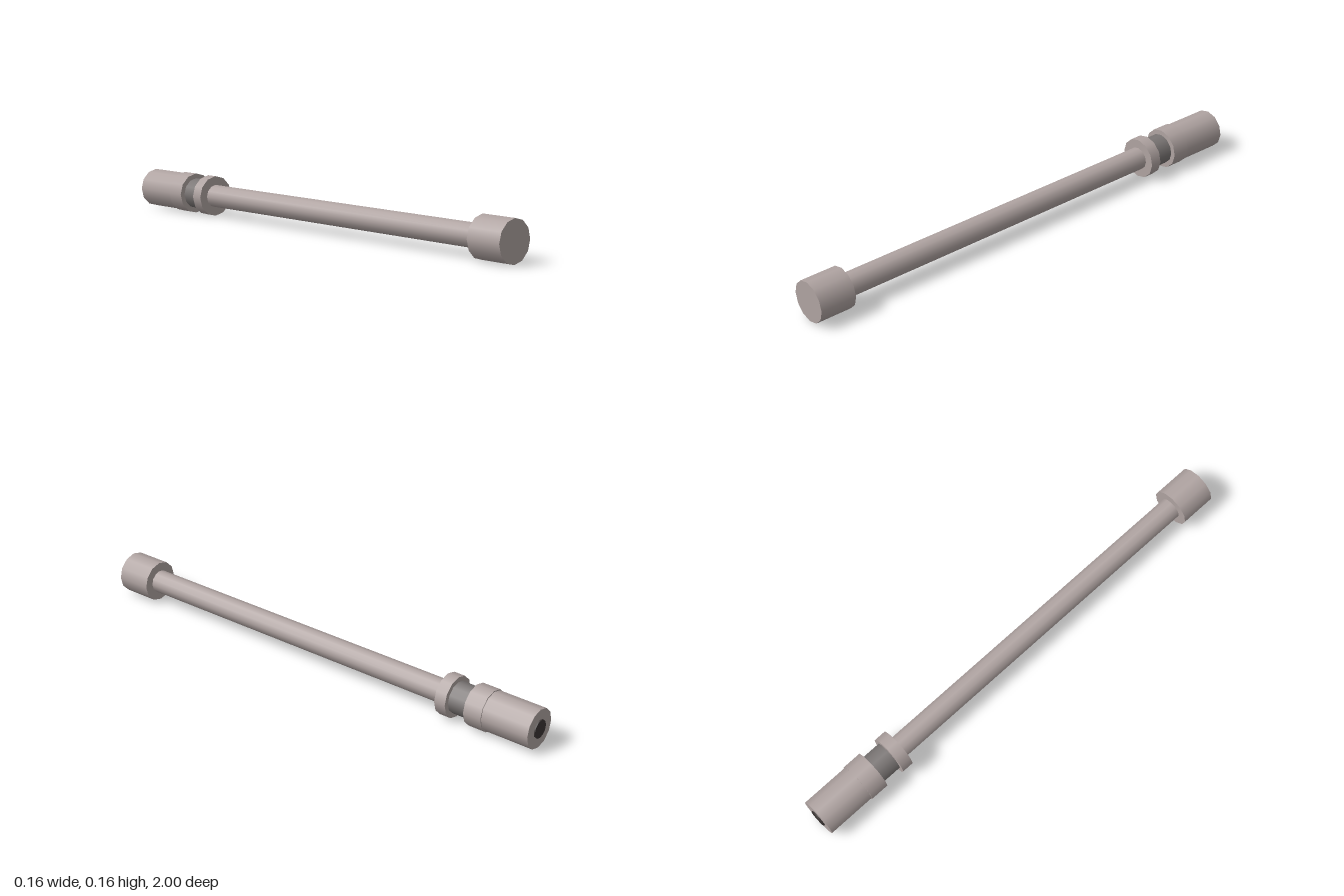
import * as THREE from 'three';

const RADIUS = 0.082;

function mat(name, color) {
  const m = new THREE.MeshStandardMaterial({ color });
  m.name = name;
  return m;
}

export function createModel() {
  const group = new THREE.Group();
  group.name = 'rodTool';
  const metal = mat('warm grey metal', 0xb0a4a2);
  const grip = mat('dark grey neck', 0x7b7675);
  const dark = mat('near black', 0x3b3534);

  // Twelve-sided cylinder along z, a corner pointing up
  const section = (name, zBack, zFront, radius, material) => {
    const geo = new THREE.CylinderGeometry(radius, radius, zFront - zBack, 12);
    geo.rotateX(Math.PI / 2);
    const mesh = new THREE.Mesh(geo, material);
    mesh.name = name;
    mesh.position.set(0, RADIUS, (zBack + zFront) / 2);
    group.add(mesh);
  };

  section('head', 0.853, 1, RADIUS, metal);
  section('shaft', -0.6, 0.853, 0.046, metal);
  section('guardRing', -0.645, -0.598, RADIUS, metal);
  section('neck', -0.725, -0.645, 0.062, grip);
  section('collar', -0.8, -0.725, RADIUS, metal);
  section('handle', -0.995, -0.8, 0.078, metal);
  section('endPlug', -1, -0.995, 0.036, dark);

  return group;
}
